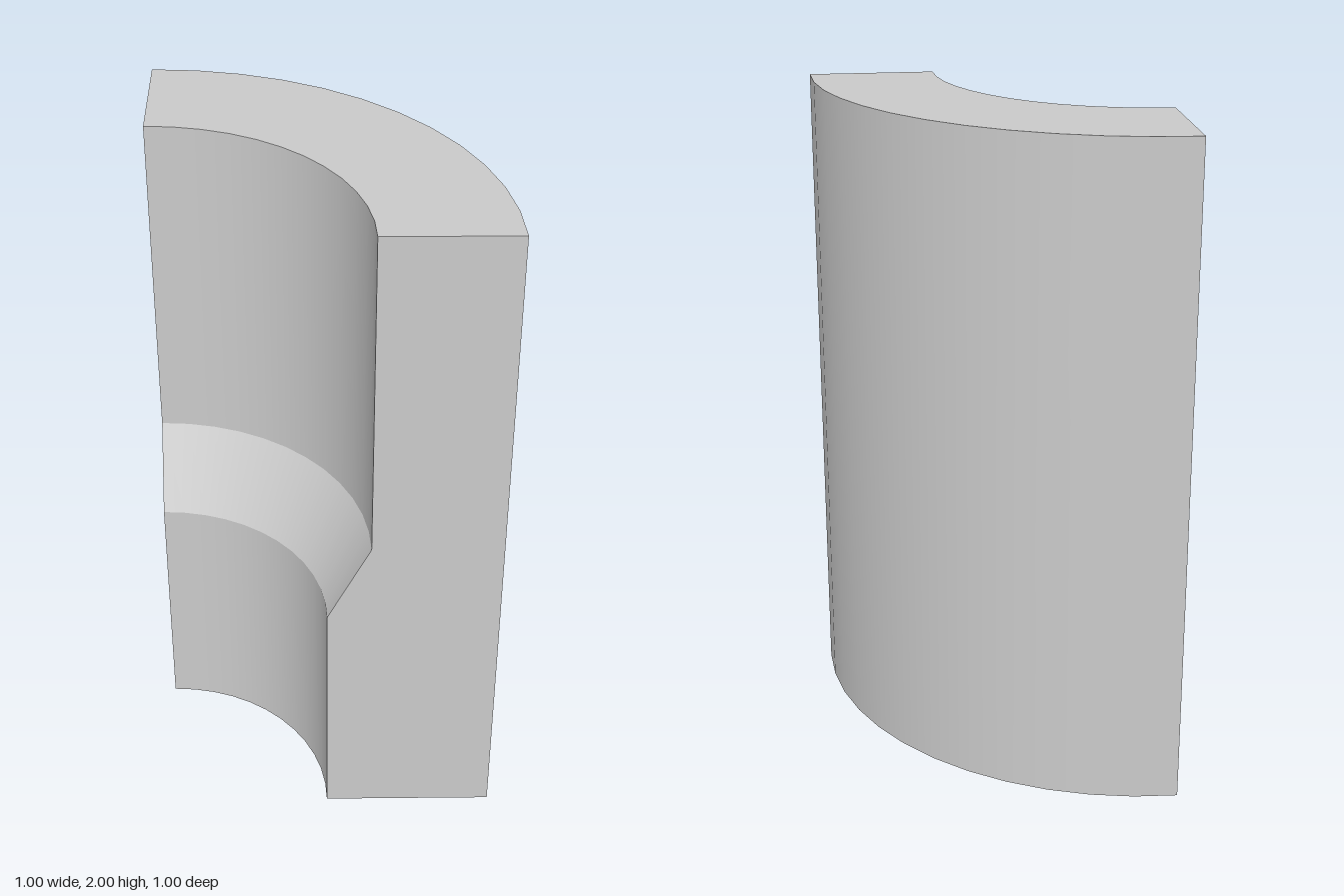
import * as THREE from 'three';
import { mergeGeometries } from 'three/addons/utils/BufferGeometryUtils.js';

// Cross-section (radius, height), counter-clockwise: outer wall, top, stepped bore, base
const PROFILE = [[1, 0], [1, 2], [0.625, 2], [0.625, 1], [0.5, 0.75], [0.5, 0]]
  .map(([r, y]) => new THREE.Vector2(r, y));
const SEGMENTS = 12;

// Flat cut face; side -1 mirrors the section
function cutFace(side) {
  const points = PROFILE.map((p) => new THREE.Vector2(p.x * side, p.y));
  return new THREE.ShapeGeometry(new THREE.Shape(points));
}

export function createModel() {
  const group = new THREE.Group();
  group.name = 'quarterSleeve';

  // One quarter-turn band per profile edge keeps the rims sharp and the curves smooth
  const parts = PROFILE.map((p, i) => new THREE.LatheGeometry(
    [p, PROFILE[(i + 1) % PROFILE.length]], SEGMENTS, Math.PI / 2, Math.PI / 2));

  // Front cut faces +z, side cut faces -x
  parts.push(cutFace(1), cutFace(-1).rotateY(-Math.PI / 2));

  const sleeve = new THREE.Mesh(
    mergeGeometries(parts),
    new THREE.MeshStandardMaterial({ color: 0xcccccc }));
  sleeve.name = 'sleeveWall';
  sleeve.position.set(-0.5, 0, 0.5);
  group.add(sleeve);
  return group;
}
